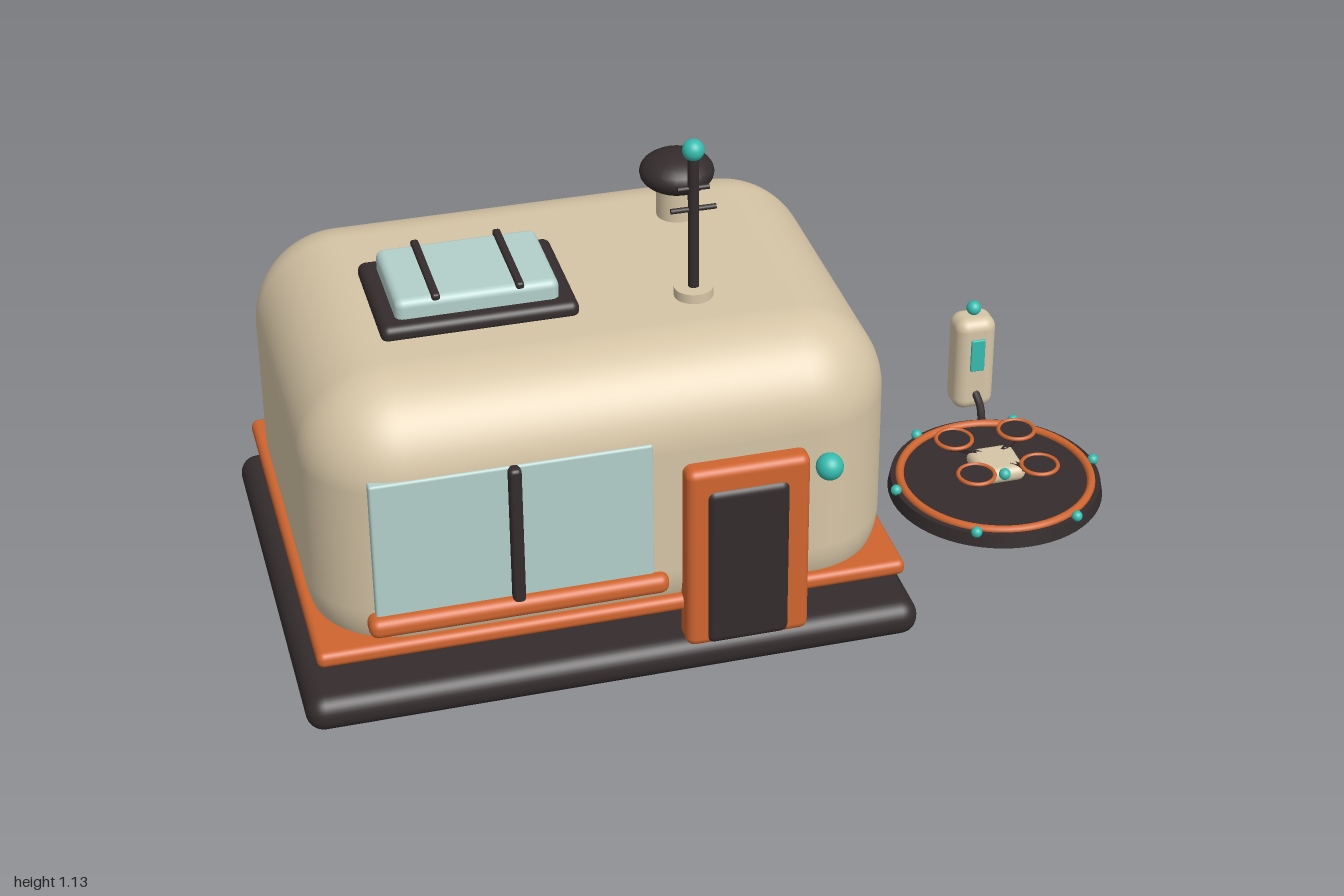
import * as THREE from 'three';
import { RoundedBoxGeometry } from 'three/addons/geometries/RoundedBoxGeometry.js';

function mat(name, color) {
  const m = new THREE.MeshStandardMaterial({ color });
  m.name = name;
  return m;
}

export function createModel() {
  const cream = mat('cream shell', 0xd6c5a6);
  const orange = mat('orange trim', 0xd0652f);
  const dark = mat('dark rubber', 0x342c2d);
  const teal = mat('teal light', 0x35bcae);
  const glass = mat('pale glass', 0xb3d0cb);
  const grey = mat('grey slat line', 0x827a76);

  const model = new THREE.Group();
  model.name = 'cabinWithDronePad';
  const group = (name, x = 0, y = 0, z = 0) => {
    const g = new THREE.Group();
    g.name = name;
    g.position.set(x, y, z);
    model.add(g);
    return g;
  };
  const add = (parent, name, geo, m, x = 0, y = 0, z = 0) => {
    const mesh = new THREE.Mesh(geo, m);
    mesh.name = name;
    mesh.position.set(x, y, z);
    parent.add(mesh);
    return mesh;
  };
  // Rounded box given by its extents on each axis
  const block = (parent, name, m, [x0, x1], [y0, y1], [z0, z1], r, seg = 4) =>
    add(parent, name, new RoundedBoxGeometry(x1 - x0, y1 - y0, z1 - z0, seg, r), m,
      (x0 + x1) / 2, (y0 + y1) / 2, (z0 + z1) / 2);
  const ball = (parent, name, m, r, x, y, z) =>
    add(parent, name, new THREE.SphereGeometry(r, 24, 16), m, x, y, z);
  const post = (parent, name, m, r, y0, y1, x, z) =>
    add(parent, name, new THREE.CylinderGeometry(r, r, y1 - y0, 28), m, x, (y0 + y1) / 2, z);

  // Cabin shell, base and belt
  const cabin = group('cabin');
  block(cabin, 'base', dark, [-1, 0.37], [0, 0.085], [-0.535, 0.49], 0.04);
  block(cabin, 'shell', cream, [-0.955, 0.33], [0.06, 0.76], [-0.495, 0.45], 0.2, 10);
  block(cabin, 'belt', orange, [-0.967, 0.34], [0.153, 0.19], [-0.507, 0.46], 0.016);

  // Front window
  const win = group('frontWindow');
  block(win, 'windowGlass', glass, [-0.835, -0.23], [0.24, 0.59], [0.38, 0.453], 0.006, 2);
  block(win, 'windowMullion', dark, [-0.543, -0.515], [0.25, 0.59], [0.43, 0.472], 0.01);
  block(win, 'windowSill', orange, [-0.853, -0.2], [0.217, 0.263], [0.42, 0.478], 0.02);

  // Front door
  const door = group('frontDoor');
  block(door, 'doorFrame', orange, [-0.167, 0.108], [0.075, 0.528], [0.42, 0.492], 0.02);
  block(door, 'doorPanel', dark, [-0.125, 0.062], [0.08, 0.478], [0.44, 0.5], 0.02);
  ball(door, 'doorLight', teal, 0.03, 0.14, 0.51, 0.512);

  // Side shutter
  const shutter = group('sideShutter');
  block(shutter, 'shutterFrame', orange, [0.29, 0.358], [0.08, 0.467], [-0.235, 0.193], 0.018);
  block(shutter, 'shutterPanel', dark, [0.31, 0.366], [0.073, 0.415], [-0.2, 0.158], 0.008);
  for (let i = 0; i < 7; i++) {
    const y = 0.096 + i * 0.051;
    block(shutter, 'shutterSlat', dark, [0.35, 0.376], [y - 0.019, Math.min(y + 0.019, 0.413)],
      [-0.195, 0.153], 0.008);
    if (i < 6) block(shutter, 'slatLine', grey, [0.362, 0.371], [y + 0.021, y + 0.03], [-0.191, 0.15], 0.003, 2);
  }
  ball(shutter, 'shutterLight', teal, 0.021, 0.345, 0.518, 0.16);

  // Skylight
  const skylight = group('skylight');
  block(skylight, 'skylightFrame', dark, [-0.745, -0.315], [0.75, 0.79], [-0.135, 0.172], 0.018);
  block(skylight, 'skylightGlass', glass, [-0.708, -0.352], [0.77, 0.833], [-0.105, 0.14], 0.018);
  for (const x of [-0.62, -0.438])
    block(skylight, 'skylightBar', dark, [x - 0.009, x + 0.009], [0.825, 0.841], [-0.108, 0.142], 0.006);

  // Antenna
  const antenna = group('antenna', -0.06, 0, 0.15);
  post(antenna, 'antennaFoot', cream, 0.043, 0.75, 0.782, 0, 0);
  post(antenna, 'mast', dark, 0.012, 0.78, 1.1, 0, 0);
  for (const [y, half] of [[0.97, 0.05], [1.02, 0.035]])
    add(antenna, 'crossbar', new THREE.CylinderGeometry(0.006, 0.006, half * 2, 10), dark, 0, y, 0).rotation.z = Math.PI / 2;
  ball(antenna, 'antennaTip', teal, 0.024, 0, 1.111, 0);

  // Roof vent
  const vent = group('roofVent', 0, 0, -0.212);
  post(vent, 'ventPipe', cream, 0.047, 0.75, 0.86, 0, 0);
  ball(vent, 'ventCap', dark, 0.085, 0, 0.868, 0).scale.y = 0.54;

  // Landing pad with ring of lights
  const pad = group('landingPad', 0.735, 0, -0.03);
  add(pad, 'padDisc', new THREE.CylinderGeometry(0.25, 0.256, 0.032, 64), dark, 0, 0.016, 0);
  const ring = add(pad, 'padRing', new THREE.TorusGeometry(0.228, 0.01, 10, 64), orange, 0, 0.034, 0);
  ring.rotation.x = Math.PI / 2;
  for (let i = 0; i < 6; i++) {
    const a = i * Math.PI / 3;
    ball(pad, 'padLight', teal, 0.013, 0.249 * Math.cos(a), 0.036, 0.249 * Math.sin(a));
  }

  // Drone
  const drone = group('drone', 0.735, 0, -0.03);
  block(drone, 'droneBody', cream, [-0.058, 0.058], [0.044, 0.085], [-0.06, 0.06], 0.02);
  ball(drone, 'droneEye', teal, 0.014, 0, 0.076, 0.06);
  for (const sx of [-1, 1]) for (const sz of [-1, 1]) {
    const x = sx * 0.079, z = sz * 0.079;
    const arm = add(drone, 'droneArm', new THREE.BoxGeometry(0.08, 0.012, 0.014), dark, sx * 0.056, 0.079, sz * 0.056);
    arm.rotation.y = -sx * sz * Math.PI / 4;
    post(drone, 'rotorMotor', dark, 0.013, 0.072, 0.1, x, z);
    post(drone, 'rotorDisc', dark, 0.042, 0.096, 0.102, x, z);
    add(drone, 'rotorRing', new THREE.TorusGeometry(0.043, 0.005, 8, 32), orange, x, 0.101, z).rotation.x = Math.PI / 2;
  }

  // Charging post and cable
  const charger = group('chargingPost');
  block(charger, 'chargerBody', cream, [0.75, 0.853], [0.005, 0.26], [-0.443, -0.357], 0.03, 6);
  block(charger, 'chargerScreen', teal, [0.784, 0.82], [0.122, 0.21], [-0.36, -0.352], 0.003, 2);
  ball(charger, 'chargerLight', teal, 0.018, 0.802, 0.277, -0.4);
  const path = new THREE.CatmullRomCurve3([
    new THREE.Vector3(0.802, 0.06, -0.37), new THREE.Vector3(0.805, 0.035, -0.33),
    new THREE.Vector3(0.795, 0.018, -0.29), new THREE.Vector3(0.785, 0.02, -0.26)]);
  add(charger, 'chargerCable', new THREE.TubeGeometry(path, 20, 0.01, 10), dark);

  return model;
}
